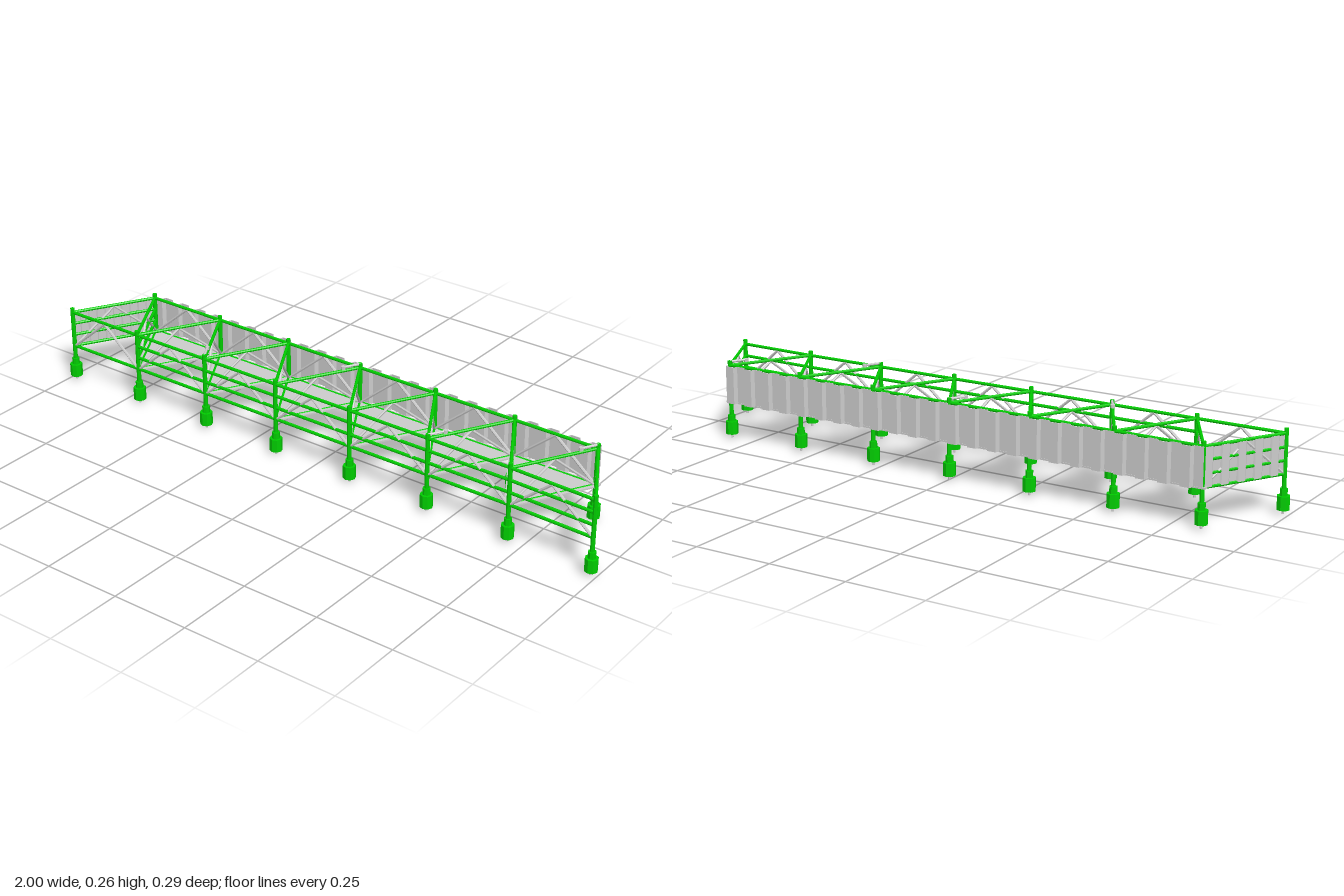
import * as THREE from 'three';

const green = new THREE.MeshStandardMaterial({ color: 0x00cc00, flatShading: true });
const grey = new THREE.MeshStandardMaterial({ color: 0xcccccc, flatShading: true });
const sheet = new THREE.MeshStandardMaterial({ color: 0xcccccc, flatShading: true, side: THREE.DoubleSide });

const LEVELS = [0.12, 0.16, 0.2, 0.24];
const Y = new THREE.Vector3(0, 1, 0);

function add(parent, name, geometry, material) {
  const mesh = new THREE.Mesh(geometry, material);
  mesh.name = name;
  parent.add(mesh);
  return mesh;
}

// Straight bar between two points
function bar(parent, name, a, b, radius, material, sides = 8) {
  const dir = b.clone().sub(a);
  const mesh = add(parent, name, new THREE.CylinderGeometry(radius, radius, dir.length(), sides), material);
  mesh.position.copy(a).lerp(b, 0.5);
  mesh.quaternion.setFromUnitVectors(Y, dir.normalize());
}

const at = (p, y) => new THREE.Vector3(p.x, y, p.z);

// Post with collar, foot and ground pin
function post(parent, p) {
  const g = new THREE.Group();
  g.name = 'post';
  g.position.set(p.x, 0, p.z);
  const stack = [
    ['postTube', 0.007, 0.07, 0.255, green], ['collar', 0.012, 0.055, 0.076, green],
    ['foot', 0.02, 0.013, 0.055, green], ['groundPin', 0.004, 0, 0.02, grey],
  ];
  for (const [name, r, y0, y1, mat] of stack) {
    add(g, name, new THREE.CylinderGeometry(r, r, y1 - y0, 8), mat).position.y = (y0 + y1) / 2;
  }
  parent.add(g);
}

// One bay: horizontal rails and an inverted V of braces
function bay(parent, name, a, b, levels, braced) {
  const g = new THREE.Group();
  g.name = name;
  for (const y of levels) bar(g, 'rail', at(a, y), at(b, y), 0.005, green);
  if (braced) {
    const top = a.clone().lerp(b, 0.5).setY(0.237);
    for (const p of [a, b]) bar(g, 'brace', at(p.clone().lerp(top, 0.05), 0.124), top, 0.0045, grey, 6);
  }
  parent.add(g);
}

// Corrugated sheet along local x, standing on y = 0
function corrugated(length, height, depth, waves) {
  const pitch = length / waves, t = 0.0015;
  const line = [];
  for (let i = 0; i < waves; i++) {
    const x = i * pitch;
    line.push([x, 0], [x + pitch * 0.42, 0], [x + pitch * 0.5, depth], [x + pitch * 0.92, depth]);
  }
  line.push([length, 0]);
  const outline = [...line, ...line.slice().reverse().map(([x, z]) => [x, z + t])];
  const shape = new THREE.Shape(outline.map(([x, z]) => new THREE.Vector2(x, z)));
  return new THREE.ExtrudeGeometry(shape, { depth: height, bevelEnabled: false })
    .rotateX(-Math.PI / 2);
}

export function createModel() {
  const model = new THREE.Group();
  model.name = 'trussWalkway';

  const front = [], back = [];
  for (let i = 0; i < 8; i++) front.push(new THREE.Vector3(-0.98 + 0.28 * i, 0, i === 7 ? 0.127 : 0.118));
  for (let i = 0; i < 7; i++) back.push(new THREE.Vector3(-0.84 + 0.28 * i, 0, -0.125));
  [...front, ...back].forEach((p) => post(model, p));

  const ends = [LEVELS[0], LEVELS[3]];
  // Long sides
  for (let i = 0; i < 7; i++) bay(model, 'frontBay', front[i], front[i + 1], i ? LEVELS : ends, true);
  for (let i = 0; i < 6; i++) bay(model, 'backBay', back[i], back[i + 1], ends, true);

  // Zigzag frames between the sides, with guard rails at the outer ones
  for (let i = 0; i < 7; i++) {
    bay(model, 'crossFrame', front[i], back[i], i === 0 ? LEVELS : ends, true);
    bay(model, 'crossFrame', back[i], front[i + 1], i === 0 || i === 6 ? LEVELS : ends, true);
  }

  // Triangular deck plates
  for (let i = 0; i < 6; i++) {
    const a = back[i], b = back[i + 1], c = front[i + 1];
    const shape = new THREE.Shape([
      new THREE.Vector2(a.x - 0.012, 0.135), new THREE.Vector2(a.x - 0.012, 0.12),
      new THREE.Vector2(c.x - 0.016, -c.z), new THREE.Vector2(c.x + 0.016, -c.z),
      new THREE.Vector2(b.x + 0.012, 0.12), new THREE.Vector2(b.x + 0.012, 0.135),
    ]);
    const plate = new THREE.ExtrudeGeometry(shape, { depth: 0.005, bevelEnabled: false }).rotateX(-Math.PI / 2);
    add(model, 'deckPlate', plate, sheet).position.y = 0.118;
  }

  // Corrugated back wall
  const wall = add(model, 'backWall', corrugated(1.69, 0.122, 0.013, 24), sheet);
  wall.position.set(-0.845, 0.119, -0.132);

  // Panel closing the right end, just inside its rails
  const dir = back[0].clone().sub(front[0]);
  const endPanel = add(model, 'endPanel', corrugated(dir.length(), 0.118, 0.004, 5), sheet);
  endPanel.position.copy(front[0]).setY(0.12);
  endPanel.rotation.y = Math.atan2(-dir.z, dir.x);

  // Short arms on top of some posts
  const arms = [[front[2], back[1]], [front[5], back[5]], [back[3], front[3]], [back[6], front[6]]];
  for (const [p, q] of arms) {
    const tip = p.clone().lerp(q, 0.2);
    bar(model, 'topArm', at(p, 0.252), at(tip, 0.252), 0.004, grey);
    bar(model, 'armTip', at(tip, 0.246), at(tip, 0.256), 0.007, grey);
  }
  return model;
}
